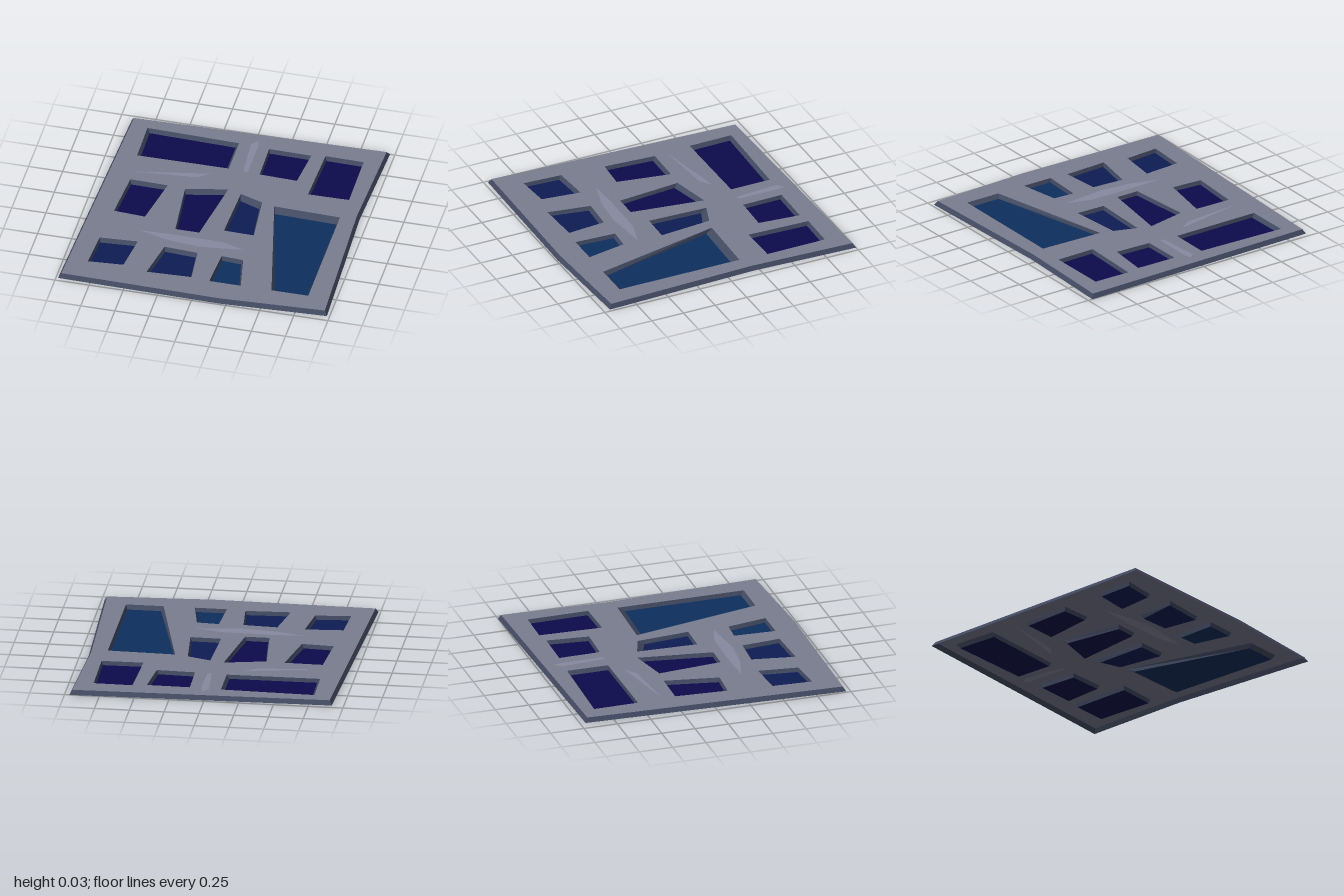
import * as THREE from 'three';

const TOP = 0.032, FLOOR = 0.003;

const paint = (color) => new THREE.MeshStandardMaterial({ color, side: THREE.DoubleSide, flatShading: true });

// Horizontal polygon from [x, z] corners, with optional openings
function sheet(points, y, holes = []) {
  const toVec = (p) => p.map(([x, z]) => new THREE.Vector2(x, -z));
  const shape = new THREE.Shape(toVec(points));
  holes.forEach((h) => shape.holes.push(new THREE.Path(toVec(h))));
  return new THREE.ShapeGeometry(shape).rotateX(-Math.PI / 2).translate(0, y, 0);
}

// Sloped wall joining two matching outlines at different heights
function band(a, ya, b, yb) {
  const pos = [];
  a.forEach(([x0, z0], i) => {
    const j = (i + 1) % a.length;
    const [x1, z1] = a[j], [x2, z2] = b[i], [x3, z3] = b[j];
    pos.push(x1, ya, z1, x0, ya, z0, x2, yb, z2);
    pos.push(x1, ya, z1, x2, yb, z2, x3, yb, z3);
  });
  const g = new THREE.BufferGeometry();
  g.setAttribute('position', new THREE.Float32BufferAttribute(pos, 3));
  g.computeVertexNormals();
  return g;
}

// Outer outline at the base, clockwise from the back left corner
const OUTLINE = [[-0.915, -0.96], [0.965, -1], [0.937, -0.2], [0.98, 0.95], [0.2, 0.99], [-0.985, 0.97]];

// Openings: four corners, inset of the floor (left, far, right, near), pane colour
const NAVY = 0x0d0b4c, MID = 0x0d1c54, TEAL = 0x0e2f5e;
const WINDOWS = [
  { c: [[-0.775, -0.85], [-0.1, -0.83], [-0.1, -0.525], [-0.77, -0.52]], inset: [0.02, 0.02, 0.02, 0.005], color: NAVY },
  { c: [[0.125, -0.815], [0.435, -0.81], [0.405, -0.5], [0.13, -0.51]], inset: [0.008, 0.015, 0.012, 0.008], color: NAVY },
  { c: [[0.535, -0.83], [0.815, -0.825], [0.82, -0.37], [0.52, -0.365]], inset: [0.01, 0.018, 0.01, 0.008], color: NAVY },
  { c: [[-0.75, -0.235], [-0.475, -0.23], [-0.545, 0.165], [-0.775, 0.15]], inset: [0.01, 0.02, 0.015, 0.01], color: NAVY },
  { c: [[-0.345, -0.22], [-0.045, -0.285], [-0.125, 0.255], [-0.3, 0.255]], inset: [0.01, 0.03, 0.012, 0.008], color: NAVY },
  { c: [[0.055, -0.255], [0.225, -0.195], [0.26, 0.195], [0.04, 0.19]], inset: [0.008, 0.045, 0.01, 0.008], color: MID },
  { c: [[0.32, -0.17], [0.805, -0.155], [0.805, 0.79], [0.535, 0.79]], inset: [0.015, 0.05, 0.012, 0.025], color: TEAL },
  { c: [[-0.8, 0.48], [-0.525, 0.46], [-0.56, 0.75], [-0.815, 0.77]], inset: [0.008, 0.02, 0.012, 0.008], color: MID },
  { c: [[-0.325, 0.475], [-0.08, 0.49], [-0.055, 0.775], [-0.38, 0.79]], inset: [0.01, 0.02, 0.01, 0.008], color: MID },
  { c: [[0.095, 0.485], [0.255, 0.495], [0.31, 0.79], [0.08, 0.79]], inset: [0.008, 0.015, 0.012, 0.008], color: TEAL },
];

// Pale worn patches lying flush in the top face
const PATCHES = [
  [[0.03, -0.885], [0.042, -0.82], [0.04, -0.515], [0.01, -0.515], [-0.015, -0.84]],
  [[-0.75, -0.33], [-0.21, -0.435], [-0.3, -0.37]],
  [[-0.54, 0.33], [-0.31, 0.32], [0.06, 0.325], [0.24, 0.38], [-0.09, 0.415], [-0.33, 0.39]],
];

export function createModel() {
  const group = new THREE.Group();
  const add = (parent, name, geometry, material) => {
    const mesh = new THREE.Mesh(geometry, material);
    mesh.name = name;
    parent.add(mesh);
  };
  const stone = paint(0x7a7e90), edge = paint(0x414960), pale = paint(0x878ba0);

  // Top face and its bevelled border
  const rim = OUTLINE.map(([x, z]) => [x * 0.98, z * 0.98]);
  add(group, 'topFace', sheet(rim, TOP, [...WINDOWS.map((w) => w.c), ...PATCHES]), stone);
  add(group, 'outerBevel', band(OUTLINE, 0, rim, TOP), edge);
  PATCHES.forEach((p, i) => add(group, `wornPatch${i + 1}`, sheet(p, TOP), pale));

  // Sunken panes with sloping sides
  WINDOWS.forEach(({ c, inset: [l, f, r, n], color }, i) => {
    const floor = c.map(([x, z], k) => [x + (k === 0 || k === 3 ? l : -r), z + (k < 2 ? f : -n)]);
    const recess = new THREE.Group();
    recess.name = `recess${i + 1}`;
    add(recess, 'recessWalls', band(c, TOP, floor, FLOOR), edge);
    add(recess, 'pane', sheet(floor, FLOOR), paint(color));
    group.add(recess);
  });
  return group;
}
